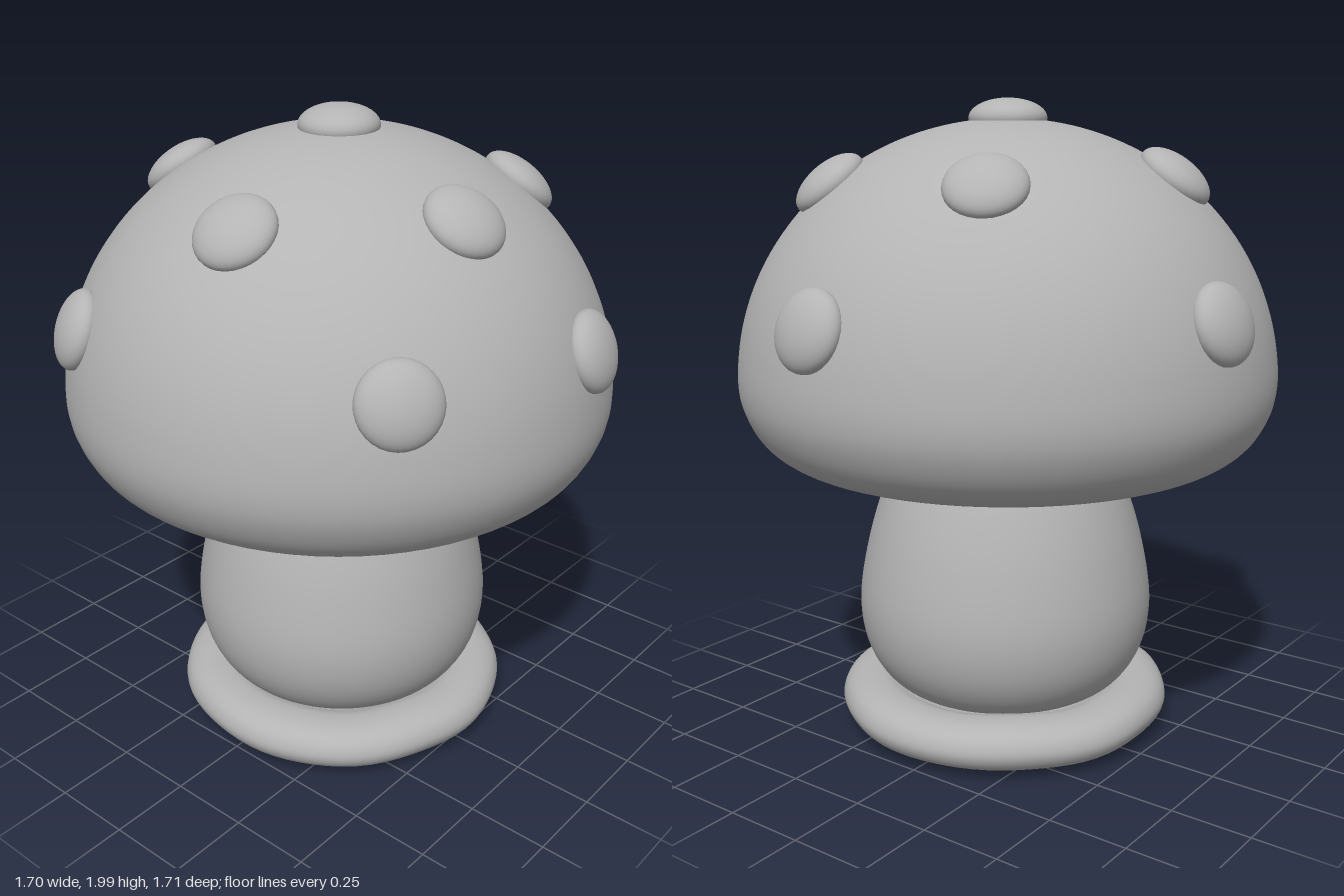
import * as THREE from 'three';

const clay = new THREE.MeshStandardMaterial({ color: 0xb4b4b4 });
clay.name = 'grey clay';

// Cap dome: half ellipsoid above this height
const DOME = { y: 1.15, r: 0.835, h: 0.79 };

// Smooth lathe through a few [radius, height] points, listed bottom to top
function turned(name, points, steps = 60) {
  const curve = new THREE.CatmullRomCurve3(
    points.map(([r, y]) => new THREE.Vector3(r, y, 0)), false, 'centripetal');
  const profile = curve.getPoints(steps).map(p => new THREE.Vector2(Math.max(p.x, 0), p.y));
  const mesh = new THREE.Mesh(new THREE.LatheGeometry(profile, 72), clay);
  mesh.name = name;
  return mesh;
}

// Flattened bump sitting on the dome, facing along its normal
function spot(x, z, y) {
  const t = (y - DOME.y) / DOME.h;
  const r = DOME.r * Math.sqrt(Math.max(0, 1 - t * t));
  const a = Math.atan2(z, x);
  const pos = new THREE.Vector3(r * Math.cos(a), y, r * Math.sin(a));
  const normal = new THREE.Vector3(
    pos.x / DOME.r ** 2, (y - DOME.y) / DOME.h ** 2, pos.z / DOME.r ** 2).normalize();
  const mesh = new THREE.Mesh(new THREE.SphereGeometry(1, 32, 20), clay);
  mesh.scale.set(0.12, 0.06, 0.12);
  mesh.position.copy(pos);
  mesh.quaternion.setFromUnitVectors(new THREE.Vector3(0, 1, 0), normal);
  mesh.name = 'spot';
  return mesh;
}

export function createModel() {
  const model = new THREE.Group();
  model.name = 'mushroom';

  // Cap: shallow hollow around the stem, rounded rim, elliptical dome
  const capProfile = [
    [0, 0.95], [0.3, 0.94], [0.4, 0.915], [0.48, 0.893], [0.58, 0.89],
    [0.69, 0.92], [0.77, 0.98], [0.82, 1.07],
  ];
  for (let i = 0; i <= 12; i++) {
    const a = (i / 12) * Math.PI / 2;
    capProfile.push([DOME.r * Math.cos(a), DOME.y + DOME.h * Math.sin(a)]);
  }
  const cap = new THREE.Group();
  cap.name = 'cap';
  cap.add(turned('capBody', capProfile, 90));

  // Spots: one on top, then an upper and a lower ring (x, z, height)
  const spots = [
    [0, 0, 1.94],
    [-0.16, -0.50, 1.77], [0.47, -0.27, 1.76], [0.42, 0.35, 1.75],
    [-0.09, 0.51, 1.77], [-0.54, 0.09, 1.76],
    [0.09, -0.81, 1.39], [-0.68, -0.41, 1.41], [-0.49, 0.61, 1.41],
    [0.17, 0.77, 1.39], [0.79, 0.08, 1.38],
  ];
  for (const [x, z, y] of spots) cap.add(spot(x, z, y));
  cap.position.set(-0.01, 0, 0.02);
  model.add(cap);

  // Stem: bulbous, narrowing into the cap
  const stem = turned('stem', [
    [0.2, 0.1], [0.34, 0.15], [0.4, 0.2], [0.45, 0.29], [0.47, 0.42],
    [0.44, 0.62], [0.385, 0.8], [0.34, 0.9], [0.31, 0.98],
  ]);
  stem.position.set(-0.01, 0, 0.03);
  model.add(stem);

  // Base: flat disc with a rounded edge
  const base = turned('base', [
    [0, 0.02], [0.3, 0.01], [0.43, 0.022], [0.505, 0.05], [0.53, 0.095],
    [0.515, 0.14], [0.47, 0.168], [0.4, 0.172], [0.35, 0.155], [0.3, 0.15],
  ]);
  // Slight hand-made unevenness
  const p = base.geometry.attributes.position;
  for (let i = 0; i < p.count; i++) {
    const a = Math.atan2(p.getZ(i), p.getX(i));
    const k = 1 + 0.005 * Math.sin(5 * a + 1) + 0.004 * Math.sin(9 * a);
    p.setXYZ(i, p.getX(i) * k, p.getY(i) * (1 + 0.02 * Math.sin(7 * a)), p.getZ(i) * k);
  }
  base.geometry.computeBoundingSphere();
  base.position.set(-0.005, 0, 0.03);
  model.add(base);

  return model;
}
